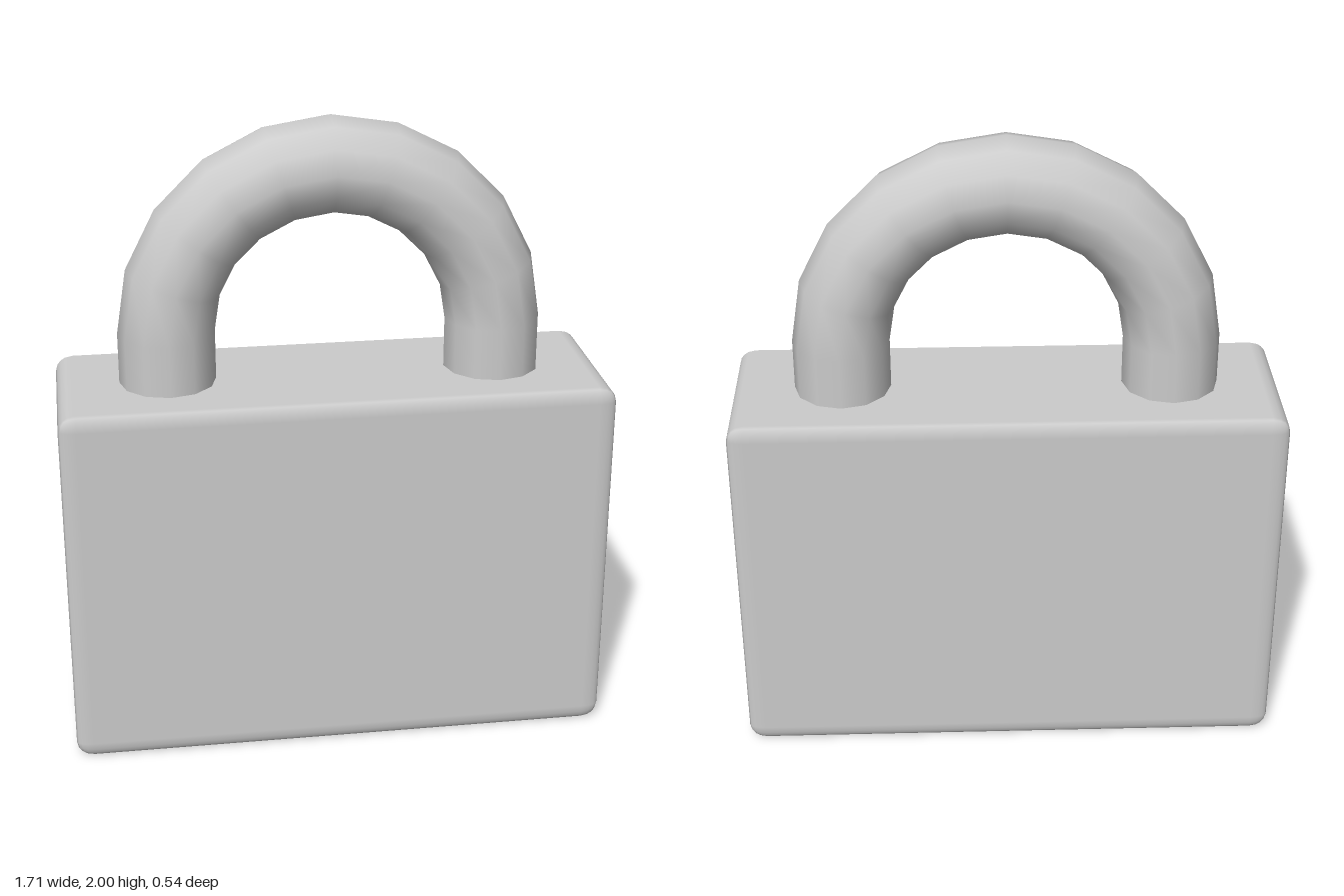
import * as THREE from 'three';
import { RoundedBoxGeometry } from 'three/addons/geometries/RoundedBoxGeometry.js';

export function createModel() {
  const group = new THREE.Group();
  const material = new THREE.MeshStandardMaterial({ color: 0xcccccc });
  const add = (name, geometry, x, y, z) => {
    const mesh = new THREE.Mesh(geometry, material);
    mesh.name = name;
    mesh.position.set(x, y, z);
    group.add(mesh);
  };

  // Body: slab with a two-step bevel whose width differs per axis
  const size = [1.71, 1.18, 0.54];
  const bevel = [0.055, 0.05, 0.022];
  const body = new RoundedBoxGeometry(...size.map((s, i) => s / bevel[i]), 2, 1);
  body.scale(...bevel);
  add('body', body, 0, size[1] / 2, 0);

  // Shackle: half ring on two straight legs sunk slightly into the body
  const ringRadius = 0.51, rodRadius = 0.15, sides = 12;
  const archY = 1.34, legBottom = 1.1;
  add('shackleArch', new THREE.TorusGeometry(ringRadius, rodRadius, sides, 10, Math.PI), 0, archY, 0);
  const legLength = archY - legBottom;
  for (const [side, name] of [[1, 'leftShackleLeg'], [-1, 'rightShackleLeg']]) {
    const leg = new THREE.CylinderGeometry(rodRadius, rodRadius, legLength, sides, 1, true);
    add(name, leg, side * ringRadius, legBottom + legLength / 2, 0);
  }

  return group;
}
